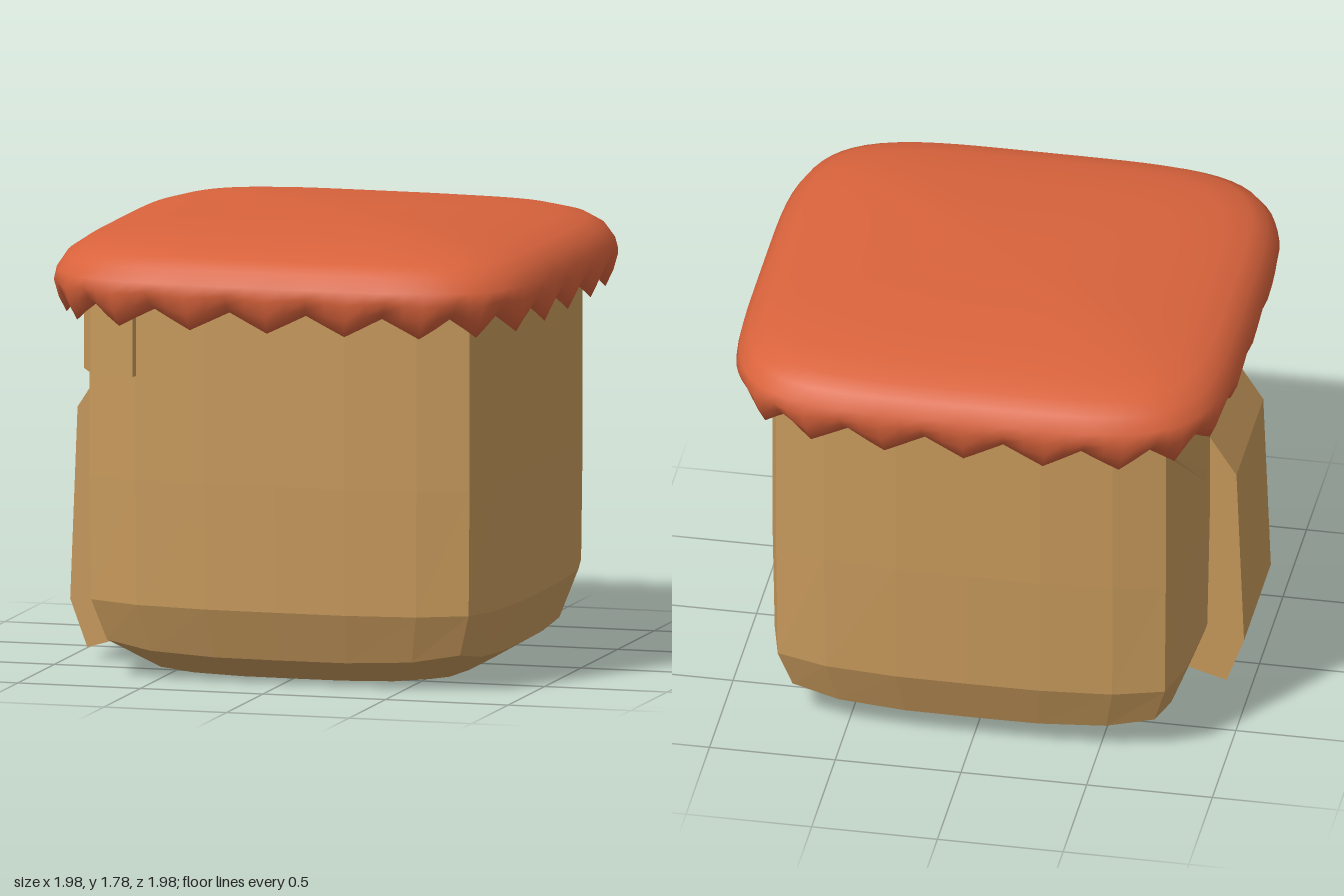
import * as THREE from 'three';
import { ConvexGeometry } from 'three/addons/geometries/ConvexGeometry.js';

const clay = new THREE.MeshStandardMaterial({ color: 0xc89a5c, flatShading: true });
const cloth = new THREE.MeshStandardMaterial({ color: 0xd9633c, side: THREE.DoubleSide });

// Skin a stack of equal rings, bottom to top, with optional centre points as caps.
function loft(rings, bottomY, topY) {
  const n = rings[0].length, pos = rings.flat(2), index = [];
  for (let r = 0; r < rings.length - 1; r++) {
    for (let i = 0; i < n; i++) {
      const a = r * n + i, b = r * n + (i + 1) % n;
      index.push(a, a + n, b, b, a + n, b + n);
    }
  }
  const cap = (start, y, up) => {
    const c = pos.length / 3;
    pos.push(0, y, 0);
    for (let i = 0; i < n; i++) {
      const a = start + i, b = start + (i + 1) % n;
      index.push(c, up ? b : a, up ? a : b);
    }
  };
  if (bottomY !== undefined) cap(0, bottomY, false);
  if (topY !== undefined) cap((rings.length - 1) * n, topY, true);
  const g = new THREE.BufferGeometry();
  g.setAttribute('position', new THREE.Float32BufferAttribute(pos, 3));
  g.setIndex(index);
  g.computeVertexNormals();
  return g;
}

// Visit the four sides of a square; point(t, k) gives [out, y, along].
function squareRing(steps, point) {
  const ring = [];
  for (let side = 0; side < 4; side++) {
    steps.forEach((t, k) => {
      let [x, y, z] = point(t, k);
      for (let q = 0; q < side; q++) [x, z] = [-z, x];
      ring.push([x, y, z]);
    });
  }
  return ring;
}

// Bulging square section: half width at the middle and at the corner, and their heights.
function bodyRing([mid, corner, yMid, yCorner]) {
  return squareRing([-1, -0.74, -0.37, 0, 0.37, 0.74], (t) => {
    const k = Math.abs(t) ** 4;
    return [mid + (corner - mid) * k, yMid + (yCorner - yMid) * k, t * corner];
  });
}

// Rounded square of cloth; drop is the depth of the hem's points.
function clothRing([scale, y, drop]) {
  const steps = Array.from({ length: 24 }, (_, k) => -1 + k / 12);
  return squareRing(steps, (t, k) => {
    const r = scale * 0.985 / (1 + Math.abs(t) ** 4.6) ** (1 / 4.6);
    const wave = Math.cos((k / 4) * Math.PI * 2);
    const fold = 1 + drop * 0.15 * wave;
    return [r * fold, y - drop * wave, r * t * fold];
  });
}

export function createModel() {
  const group = new THREE.Group();
  const add = (name, geometry, material) => {
    const mesh = new THREE.Mesh(geometry, material);
    mesh.name = name;
    group.add(mesh);
    return mesh;
  };

  // Faceted jar with a chamfered foot
  const body = add('jarBody', loft([
    [0.6, 0.55, 0.005, 0.02],
    [0.765, 0.72, 0.1, 0.145],
    [0.84, 0.77, 0.3, 0.31],
    [0.85, 0.775, 0.8, 0.8],
    [0.85, 0.775, 1.62, 1.62],
  ].map(bodyRing), 0, 1.62), clay);
  body.position.set(0.005, 0, 0.015);

  // Soft cloth lid, from the inner hem over the rim to the crown
  add('clothCover', loft([
    [0.87, 1.56, 0],
    [0.92, 1.49, 0.03],
    [0.955, 1.455, 0.038],
    [0.985, 1.5, 0.022],
    [1.005, 1.555, 0.008],
    [0.995, 1.6, 0],
    [0.96, 1.655, 0],
    [0.9, 1.695, 0],
    [0.8, 1.725, 0],
    [0.6, 1.758, 0],
    [0.3, 1.775, 0],
  ].map(clothRing), undefined, 1.78), cloth);

  // Thick hanging label on the right side
  const profile = [[-0.74, 0.1], [-0.8, 0.3], [-0.8, 1.19], [-0.84, 1.17],
    [-0.95, 1.0], [-0.98, 0.24], [-0.91, 0.05]];
  const label = new THREE.ExtrudeGeometry(
    new THREE.Shape(profile.map(([x, y]) => new THREE.Vector2(x, y))),
    { depth: 0.57, bevelEnabled: false });
  label.translate(0, 0, -0.22);
  add('label', label, clay);

  // Short strap end wrapped around the front corner
  const plan = [[-0.82, 0.7], [-0.76, 0.81], [-0.57, 0.872], [-0.55, 0.75], [-0.74, 0.66]];
  const strap = new THREE.ExtrudeGeometry(
    new THREE.Shape(plan.map(([x, z]) => new THREE.Vector2(x, -z))),
    { depth: 0.3, bevelEnabled: false });
  strap.rotateX(-Math.PI / 2).translate(0, 1.21, 0);
  add('strapEnd', strap, clay);

  // Tie running down from the back corner towards the label
  add('tie', new ConvexGeometry([
    [-0.78, 1.43, -0.78], [-0.78, 1.38, -0.74], [-0.865, 1.14, -0.42],
    [-0.865, 1.08, -0.41], [-0.8, 1.12, -0.36], [-0.74, 1.4, -0.72],
  ].map((p) => new THREE.Vector3(...p))), clay);

  return group;
}
